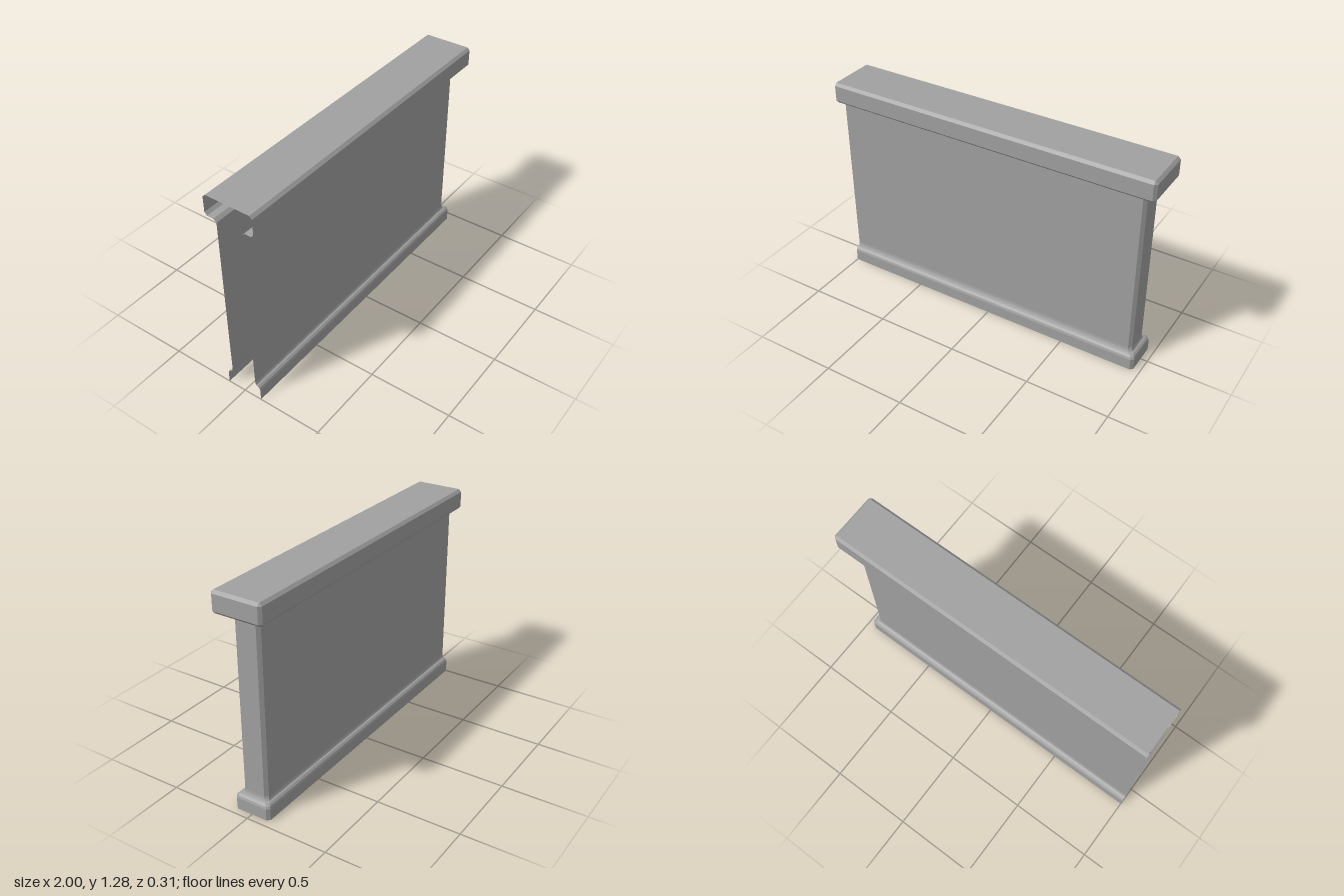
import * as THREE from 'three';

const LEFT = -1;     // open end of the wall
const REACH = 0.846; // closed end: x = REACH + half width

// Plan outline at one height: a U around the closed end with chamfered corners
function outline([w, y, c]) {
  const x = REACH + w;
  return [[LEFT, w], [x - c, w], [x, w - c], [x, c - w], [x - c, -w], [LEFT, -w]]
    .map(([px, pz]) => [px, y, pz]);
}

// Sweeps a profile of [half width, height, corner chamfer] around the outline
function sweep(name, profile, material, closeTop = false) {
  const loops = profile.map(outline);
  const pos = [];
  const tri = (a, b, c) => pos.push(...a, ...b, ...c);
  for (let i = 0; i < loops.length - 1; i++) {
    const lo = loops[i], hi = loops[i + 1];
    for (let j = 0; j < lo.length - 1; j++) {
      tri(lo[j], lo[j + 1], hi[j + 1]);
      tri(lo[j], hi[j + 1], hi[j]);
    }
  }
  if (closeTop) {
    const top = loops[loops.length - 1];
    for (let j = 1; j < top.length - 1; j++) tri(top[0], top[j], top[j + 1]);
  }
  const geometry = new THREE.BufferGeometry();
  geometry.setAttribute('position', new THREE.Float32BufferAttribute(pos, 3));
  geometry.computeVertexNormals();
  const mesh = new THREE.Mesh(geometry, material);
  mesh.name = name;
  return mesh;
}

export function createModel() {
  const stone = new THREE.MeshStandardMaterial({ color: 0xa0a0a0, side: THREE.DoubleSide });
  stone.name = 'grey stone';

  const group = new THREE.Group();
  group.name = 'lowWall';
  group.add(
    // Skirting with a rounded shoulder and a small cove into the wall
    sweep('base', [
      [0.113, 0, 0.017], [0.113, 0.07, 0.017], [0.108, 0.083, 0.016], [0.098, 0.093, 0.014],
      [0.087, 0.097, 0.016], [0.082, 0.108, 0.017], [0.08, 0.122, 0.018],
    ], stone),
    // Plain hollow wall
    sweep('wall', [[0.08, 0.122, 0.018], [0.08, 1.14, 0.018]], stone),
    // Flare under the coping
    sweep('flare', [[0.08, 1.14, 0.018], [0.098, 1.157, 0.018], [0.138, 1.157, 0.002]], stone),
    // Bevelled coping with a flat top
    sweep('coping', [
      [0.138, 1.157, 0.002], [0.154, 1.173, 0.016], [0.154, 1.267, 0.016], [0.138, 1.283, 0.002],
    ], stone, true),
  );
  return group;
}
